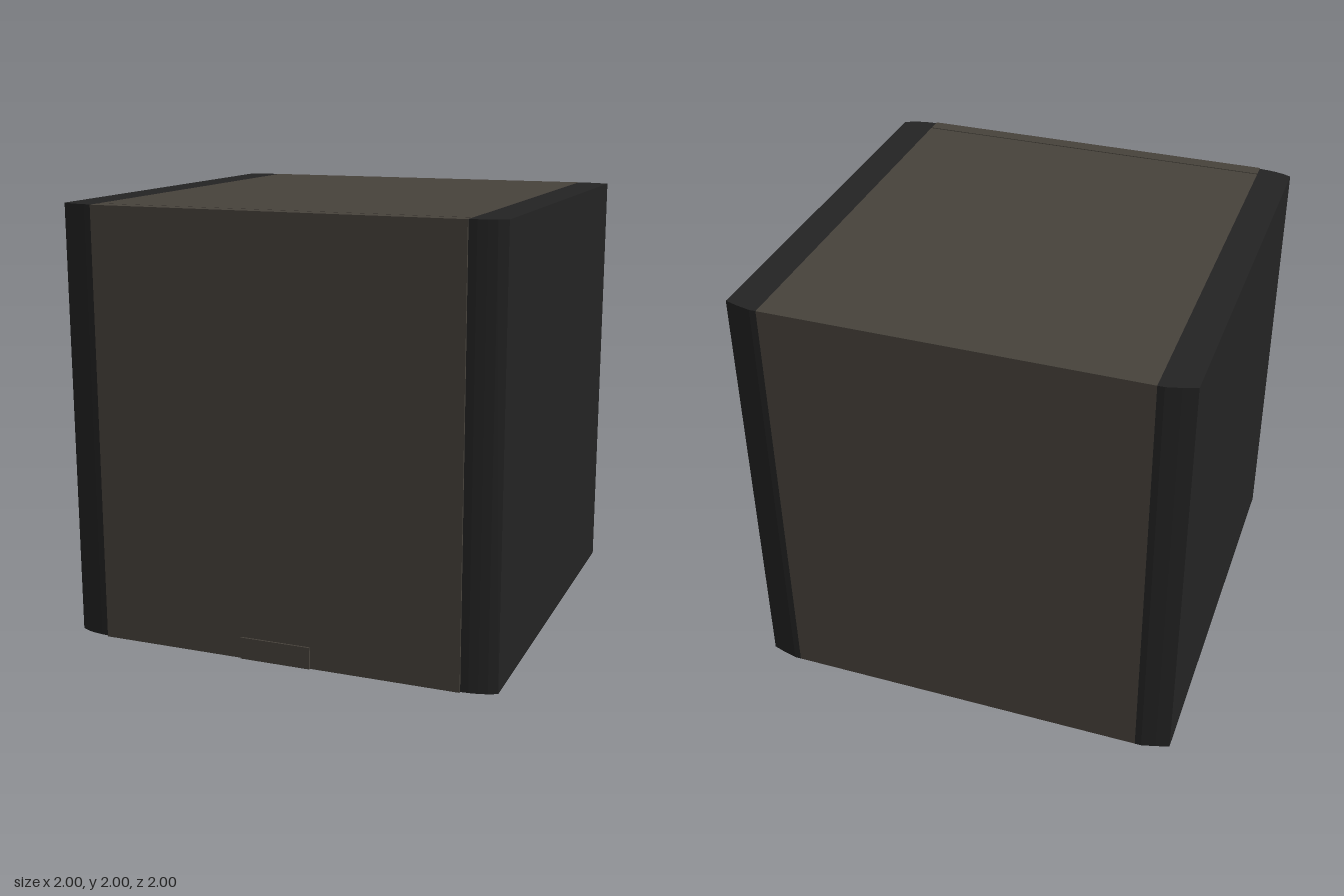
import * as THREE from 'three';

export function createModel() {
  const model = new THREE.Group();
  const mat = (name, color) => {
    const m = new THREE.MeshStandardMaterial({ color });
    m.name = name;
    return m;
  };
  const taupe = mat('taupe cabinet', 0x47423b);
  const charcoal = mat('charcoal panel', 0x232323);
  const black = mat('black rubber', 0x191614);

  const add = (name, geometry, material, x = 0, y = 0, z = 0) => {
    const mesh = new THREE.Mesh(geometry, material);
    mesh.name = name;
    mesh.position.set(x, y, z);
    model.add(mesh);
    return mesh;
  };
  // Box given by its limits on each axis
  const box = (name, material, x, [y0, y1], [z0, z1]) =>
    add(name, new THREE.BoxGeometry(2 * x, y1 - y0, z1 - z0), material, 0, (y0 + y1) / 2, (z0 + z1) / 2);

  const bottom = 0.02, top = 2, half = 0.845;

  // Cabinet and front cover, with a narrow seam between them
  box('cabinet', taupe, half, [bottom, top], [-1, 0.915]);
  box('seamCore', black, half - 0.01, [bottom + 0.01, top - 0.012], [0.91, 0.925]);
  box('frontCover', taupe, half, [bottom, top], [0.922, 0.99]);
  box('frontPlate', taupe, 0.165, [bottom, 0.12], [0.99, 0.998]);

  // Side panels: plan outline with gently curved front and chamfered back edges
  for (const side of [-1, 1]) {
    const outline = [
      [half, 0.98], [0.88, 0.978], [0.92, 0.972], [0.96, 0.961], [1, 0.943],
      [1, -0.965], [0.94, -0.984], [0.875, -1], [half, -1],
    ].map(([x, z]) => new THREE.Vector2(side * x, -z));
    const panel = new THREE.ExtrudeGeometry(new THREE.Shape(outline), { depth: top - bottom, bevelEnabled: false });
    panel.rotateX(-Math.PI / 2);
    add(side > 0 ? 'leftPanel' : 'rightPanel', panel, charcoal, 0, bottom, 0);
  }

  // Four low feet
  for (const x of [-0.625, 0.625]) {
    for (const z of [-0.677, 0.61]) {
      const foot = add('foot', new THREE.CylinderGeometry(0.085, 0.085, bottom, 20), black, x, bottom / 2, z);
      foot.scale.z = 0.88;
    }
  }
  return model;
}
